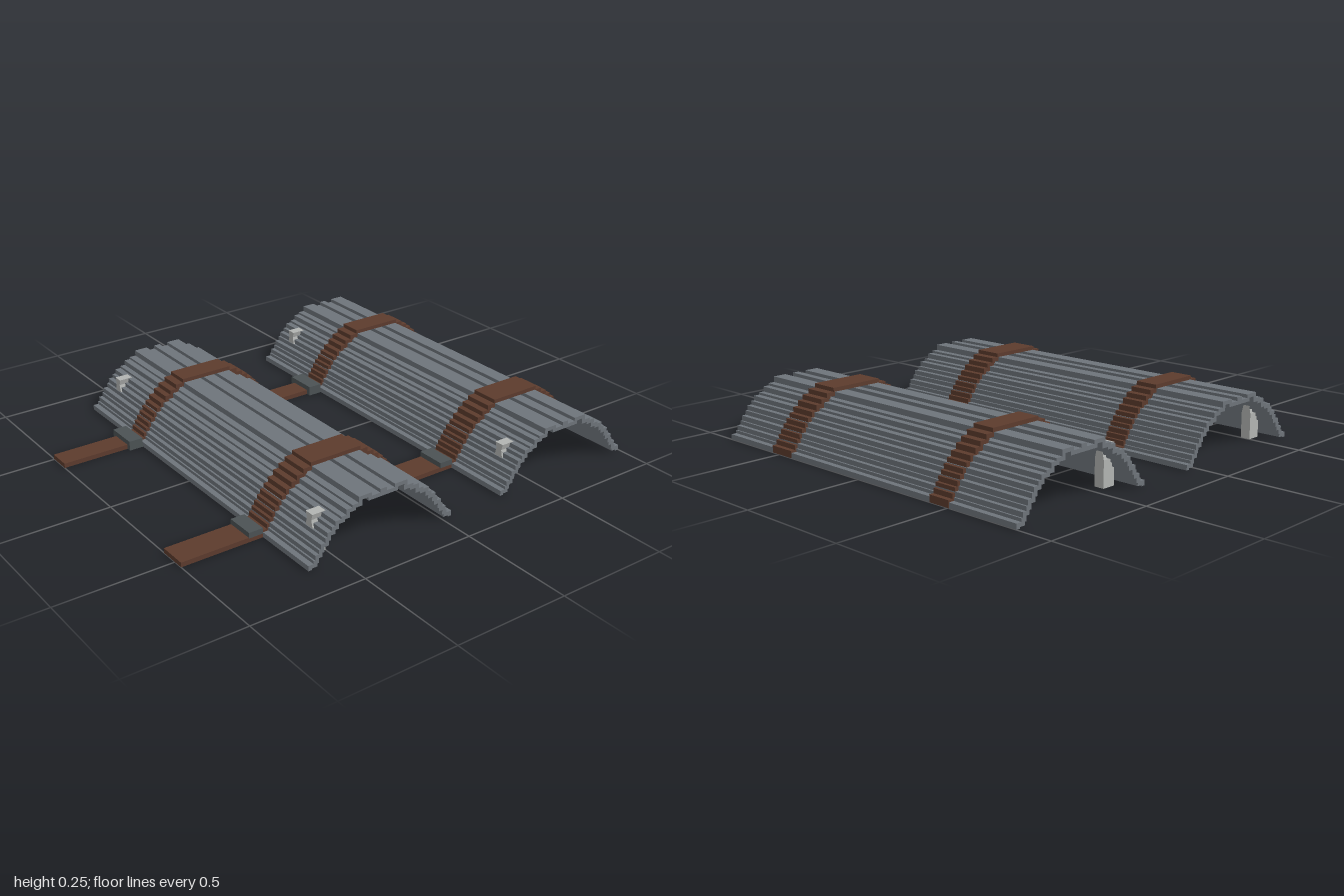
import * as THREE from 'three';
import { mergeGeometries } from 'three/addons/utils/BufferGeometryUtils.js';

const paint = (name, color) => {
  const m = new THREE.MeshStandardMaterial({ color });
  m.name = name;
  return m;
};

// Half profiles of the arch: each step is [distance from the crown, height of the tread]
const STRAP = [[0.12, 0.252], [0.155, 0.235], [0.185, 0.215], [0.21, 0.195], [0.235, 0.172],
  [0.255, 0.15], [0.272, 0.13], [0.287, 0.11], [0.3, 0.09], [0.313, 0.07], [0.325, 0.05], [0.345, 0.03]];
const SHELL = [[0.015, 0.235], [0.07, 0.22], [0.115, 0.235], [0.145, 0.21], [0.172, 0.2],
  [0.195, 0.178], [0.222, 0.168], [0.237, 0.148], [0.258, 0.132], [0.268, 0.112], [0.288, 0.093],
  [0.296, 0.072], [0.313, 0.055], [0.32, 0.035], [0.344, 0.022]];

function box(x0, x1, y0, y1, z0, z1) {
  const g = new THREE.BoxGeometry(x1 - x0, y1 - y0, z1 - z0);
  return g.translate((x0 + x1) / 2, (y0 + y1) / 2, (z0 + z1) / 2);
}

// Stepped arch of treads and risers, mirrored about its crown
function steppedArch(steps, x0, x1, t) {
  const parts = [];
  let from = 0;
  steps.forEach(([to, y], i) => {
    const next = i + 1 < steps.length ? steps[i + 1][1] : 0;
    const low = Math.max(0, Math.min(y, next) - t);
    const high = Math.max(y, next);
    for (const s of [1, -1]) {
      const span = (a, b) => (s > 0 ? [a, b] : [-b, -a]);
      parts.push(box(x0, x1, Math.max(0, y - t), y, ...span(from, to)));
      parts.push(box(x0, x1, low, high, ...span(to - t, to)));
    }
    from = to;
  });
  return mergeGeometries(parts);
}

// Peg with a waisted front outline
function pegGeometry() {
  const s = new THREE.Shape();
  s.moveTo(-0.022, 0);
  s.lineTo(0.022, 0);
  s.lineTo(0.022, 0.11);
  s.lineTo(0.014, 0.145);
  s.lineTo(0.021, 0.17);
  s.lineTo(-0.021, 0.17);
  s.lineTo(-0.014, 0.145);
  s.lineTo(-0.022, 0.11);
  s.closePath();
  return new THREE.ExtrudeGeometry(s, { depth: 0.06, bevelEnabled: false });
}

export function createModel() {
  const model = new THREE.Group();
  model.name = 'strappedArmorPlates';
  const steel = paint('steelGrey', 0x6e747a);
  const leather = paint('brownLeather', 0x5c3b2d);
  const iron = paint('darkIron', 0x4b5254);
  const pale = paint('paleGrey', 0xb2b4b2);

  const add = (parent, name, geometry, material) => {
    const mesh = new THREE.Mesh(geometry, material);
    mesh.name = name;
    parent.add(mesh);
    return mesh;
  };

  for (const [name, z] of [['frontPlate', 0.295], ['backPlate', -0.655]]) {
    const plate = new THREE.Group();
    plate.name = name;
    plate.position.z = z;
    model.add(plate);

    // Ridged metal shell
    add(plate, 'shell', steppedArch(SHELL, -0.84, 0.84, 0.016), steel);

    // Straps over the shell with flat tails and buckles in front
    for (const [side, x0, x1, b0, b1, by] of [
      ['right', -0.505, -0.403, -0.528, -0.382, 0],
      ['left', 0.42, 0.545, 0.418, 0.547, 0.018]]) {
      add(plate, side + 'Strap', steppedArch(STRAP, x0, x1, 0.017), leather);
      add(plate, side + 'StrapTail', box(x0, x1, 0, 0.02, 0.335, 0.705), leather);
      add(plate, side + 'Buckle', box(b0, b1, by, 0.042, 0.345, 0.408), iron);
    }

    // Pegs through the front slope
    for (const s of [1, -1]) {
      add(plate, s > 0 ? 'leftPeg' : 'rightPeg', pegGeometry(), pale).position.set(s * 0.735, 0, 0.205);
    }
  }
  return model;
}
